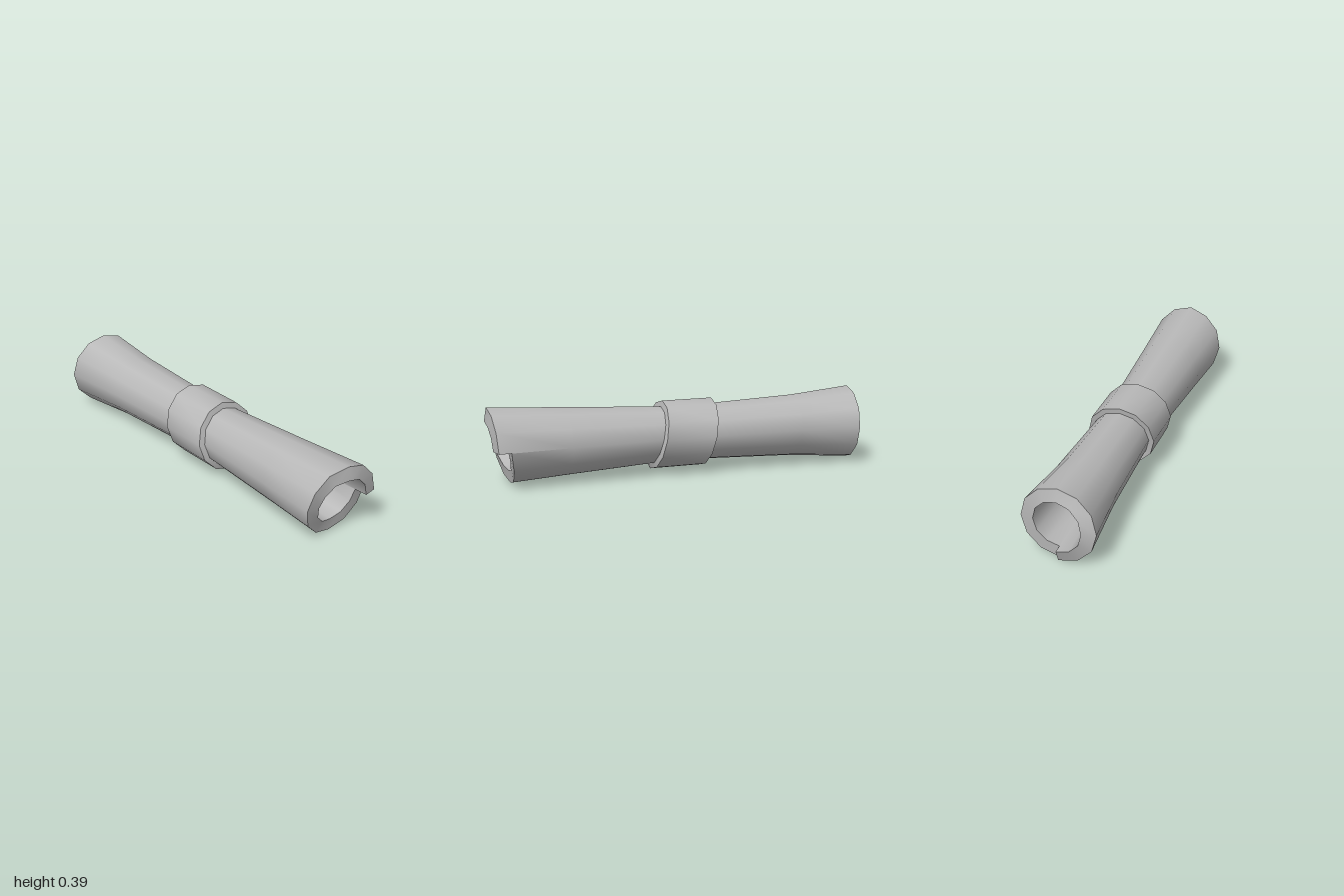
import * as THREE from 'three';
import { toCreasedNormals } from 'three/addons/utils/BufferGeometryUtils.js';

const SIDES = 12;
const AXIS_Y = 0.197;

// point at distance x along the tube, radius r and angle a (0 = front, 90 = top)
const point = (x, r, deg) => {
  const a = THREE.MathUtils.degToRad(deg);
  return [x, AXIS_Y + r * Math.sin(a), r * Math.cos(a)];
};

// skin over a list of columns, each a list of points; extra quads may be added
function skin(columns, extraQuads = []) {
  const pos = [];
  const quad = (a, b, c, d) => pos.push(...a, ...b, ...c, ...a, ...c, ...d);
  for (let j = 0; j < columns.length - 1; j++) {
    for (let i = 0; i < columns[j].length - 1; i++) {
      quad(columns[j][i], columns[j + 1][i], columns[j + 1][i + 1], columns[j][i + 1]);
    }
  }
  extraQuads.forEach((q) => quad(...q));
  const geo = new THREE.BufferGeometry();
  geo.setAttribute('position', new THREE.Float32BufferAttribute(pos, 3));
  return toCreasedNormals(geo, THREE.MathUtils.degToRad(38));
}

// half of the hollow tube, whose end rim winds round in a spiral to a step
function halfTube({ sign, startAngle, tips, lip, outer, bore }) {
  const columns = tips.map((tip, j) => {
    const deg = startAngle - sign * (360 / SIDES) * j;
    const edge = lip * (1 - j / SIDES) + 0.004;
    const out = outer.map(([x, r]) => point(sign * x, r, deg));
    const [x0, r0] = outer[outer.length - 1];
    const rTip = r0 + (0.195 - r0) * (tip - x0) / (0.98 - x0);
    out.push(point(sign * tip, rTip, deg));
    out.push(point(sign * (tip + edge), 0.128, deg));
    bore.forEach(([x, r]) => out.push(point(sign * x, r, deg)));
    return out;
  });
  const n = outer.length;
  const first = columns[0], last = columns[SIDES];
  // flat face of the step
  const step = [first[n], first[n + 1], last[n + 1], last[n]];
  return skin(columns, [step]);
}

export function createModel() {
  const group = new THREE.Group();
  const grey = new THREE.MeshStandardMaterial({ color: 0xb8b8b8, side: THREE.DoubleSide });
  grey.name = 'grey';
  const add = (geo, name) => {
    const mesh = new THREE.Mesh(geo, grey);
    mesh.name = name;
    group.add(mesh);
  };

  // left half, step at the back
  add(halfTube({
    sign: 1,
    startAngle: 180,
    tips: [0.972, 0.978, 0.985, 0.99, 0.966, 0.95, 0.93, 0.91, 0.892, 0.878, 0.884, 0.895, 0.91],
    lip: 0.01,
    outer: [[0, 0.144], [0.1, 0.145], [0.6, 0.172]],
    bore: [[0.6, 0.115], [0, 0.102]],
  }), 'leftTube');

  // right half, step at the bottom
  add(halfTube({
    sign: -1,
    startAngle: -90,
    tips: [0.972, 0.976, 0.98, 0.982, 0.975, 0.967, 0.96, 0.955, 0.95, 0.946, 0.945, 0.945, 0.948],
    lip: 0.024,
    outer: [[0, 0.144], [0.18, 0.146], [0.63, 0.163]],
    bore: [[0.63, 0.113], [0, 0.102]],
  }), 'rightTube');

  // slanted band round the middle
  const band = [];
  for (let j = 0; j <= SIDES; j++) {
    const deg = 180 - (360 / SIDES) * j;
    const slant = -0.033 * Math.sin(THREE.MathUtils.degToRad(deg));
    band.push([
      point(-0.142 + slant, 0.138, deg),
      point(-0.147 + slant, 0.174, deg),
      point(0.119 + slant, 0.174, deg),
      point(0.13 + slant, 0.138, deg),
    ]);
  }
  add(skin(band), 'middleBand');

  return group;
}
